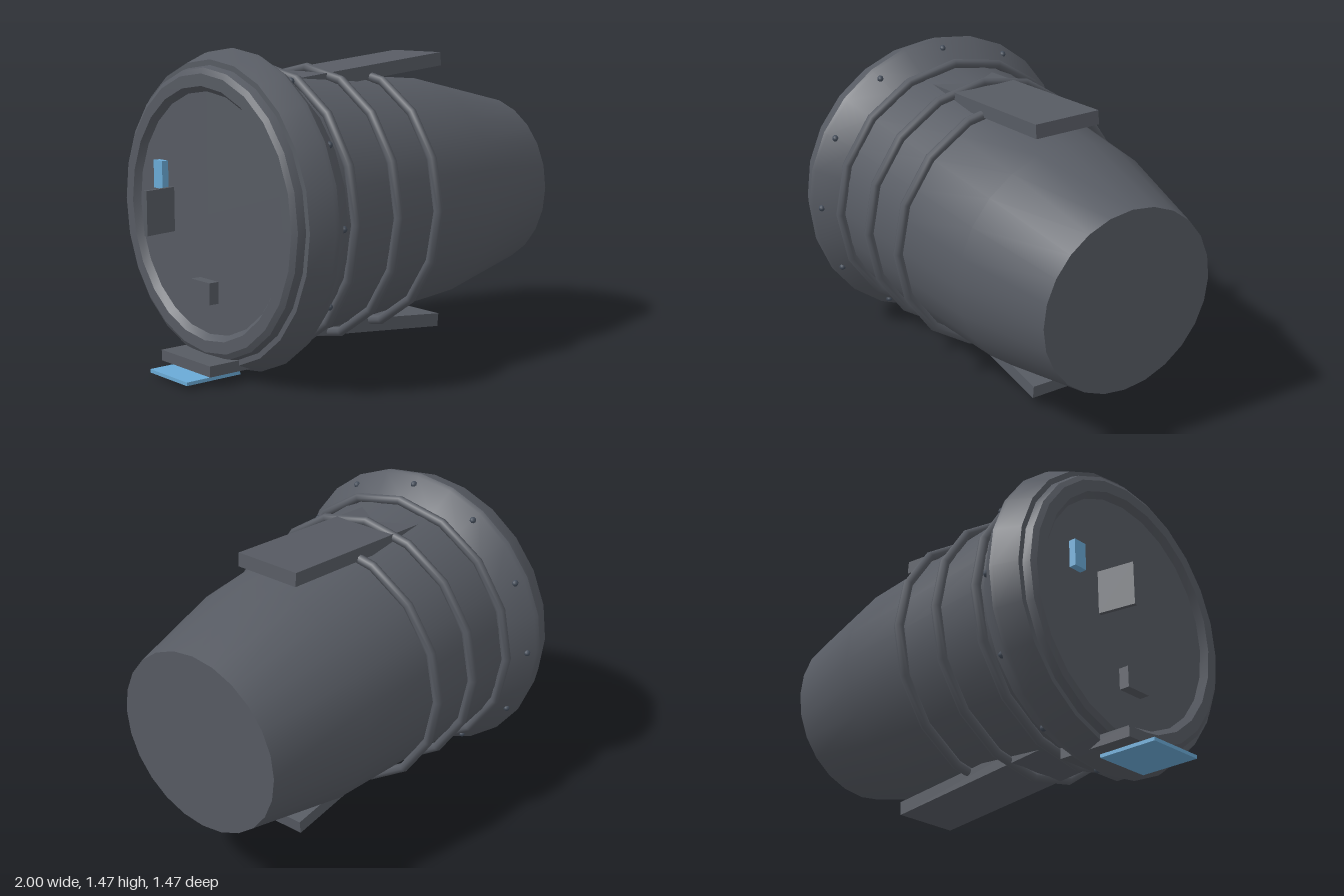
import * as THREE from 'three';
import { toCreasedNormals } from 'three/addons/utils/BufferGeometryUtils.js';

const CY = 0.738; // height of the barrel's axis

export function createModel() {
  const model = new THREE.Group();
  const grey = new THREE.MeshStandardMaterial({ name: 'hull grey', color: 0x575b63 });
  const blue = new THREE.MeshStandardMaterial({ name: 'panel blue', color: 0x6aaad6 });
  const dark = new THREE.MeshStandardMaterial({ name: 'bolt slate', color: 0x434c59 });

  const add = (name, geometry, material, x, y, z) => {
    const mesh = new THREE.Mesh(geometry, material);
    mesh.name = name;
    mesh.position.set(x, y, z);
    model.add(mesh);
    return mesh;
  };
  const box = (name, material, w, h, d, x, y, z) =>
    add(name, new THREE.BoxGeometry(w, h, d), material, x, y, z);

  // Barrel with recessed rear hatch, flared collar and tapered nose: [x, radius]
  const profile = [
    [-0.77, 0], [-0.77, 0.55], [-0.8, 0.575], [-0.8, 0.63], [-0.785, 0.655],
    [-0.75, 0.665], [-0.75, 0.69], [-0.645, 0.732], [-0.625, 0.737], [-0.605, 0.727],
    [-0.49, 0.63], [0.05, 0.588], [0.5, 0.553], [1, 0.438], [1, 0],
  ].map(([x, r]) => new THREE.Vector2(r, x));
  const barrel = new THREE.LatheGeometry(profile, 24).rotateZ(-Math.PI / 2);
  add('barrel', toCreasedNormals(barrel, 0.5), grey, 0, CY, 0);

  // Hoops around the barrel
  for (const [x, r] of [[-0.46, 0.65], [-0.195, 0.633], [0.065, 0.617]]) {
    add('hoop', new THREE.TorusGeometry(r, 0.023, 8, 16).rotateY(Math.PI / 2), grey, x, CY, 0);
  }

  // Splayed fins above and below
  const tilt = 0.1;
  for (const side of [1, -1]) {
    const fin = box('fin', grey, 0.95, 0.065, 0.33, 0.045, CY + side * 0.609, 0);
    fin.rotation.z = side * tilt;
  }

  // Bolts on the collar
  for (let i = 0; i < 12; i++) {
    const a = (i * Math.PI) / 6;
    add('bolt', new THREE.SphereGeometry(0.016, 8, 6), dark,
      -0.573, CY + 0.697 * Math.cos(a), 0.697 * Math.sin(a));
  }

  // Rear hatch fittings
  const door = box('openDoor', grey, 0.175, 0.205, 0.02, -0.89, CY, -0.213);
  door.rotation.y = 0.2;
  box('latchBox', grey, 0.06, 0.1, 0.14, -0.79, 0.39, 0);
  box('window', blue, 0.035, 0.13, 0.07, -0.786, 0.885, -0.35);

  // Entry step and mat
  box('step', grey, 0.38, 0.05, 0.38, -0.717, 0.075, 0);
  box('mat', blue, 0.29, 0.016, 0.29, -0.855, 0.027, 0);

  return model;
}
